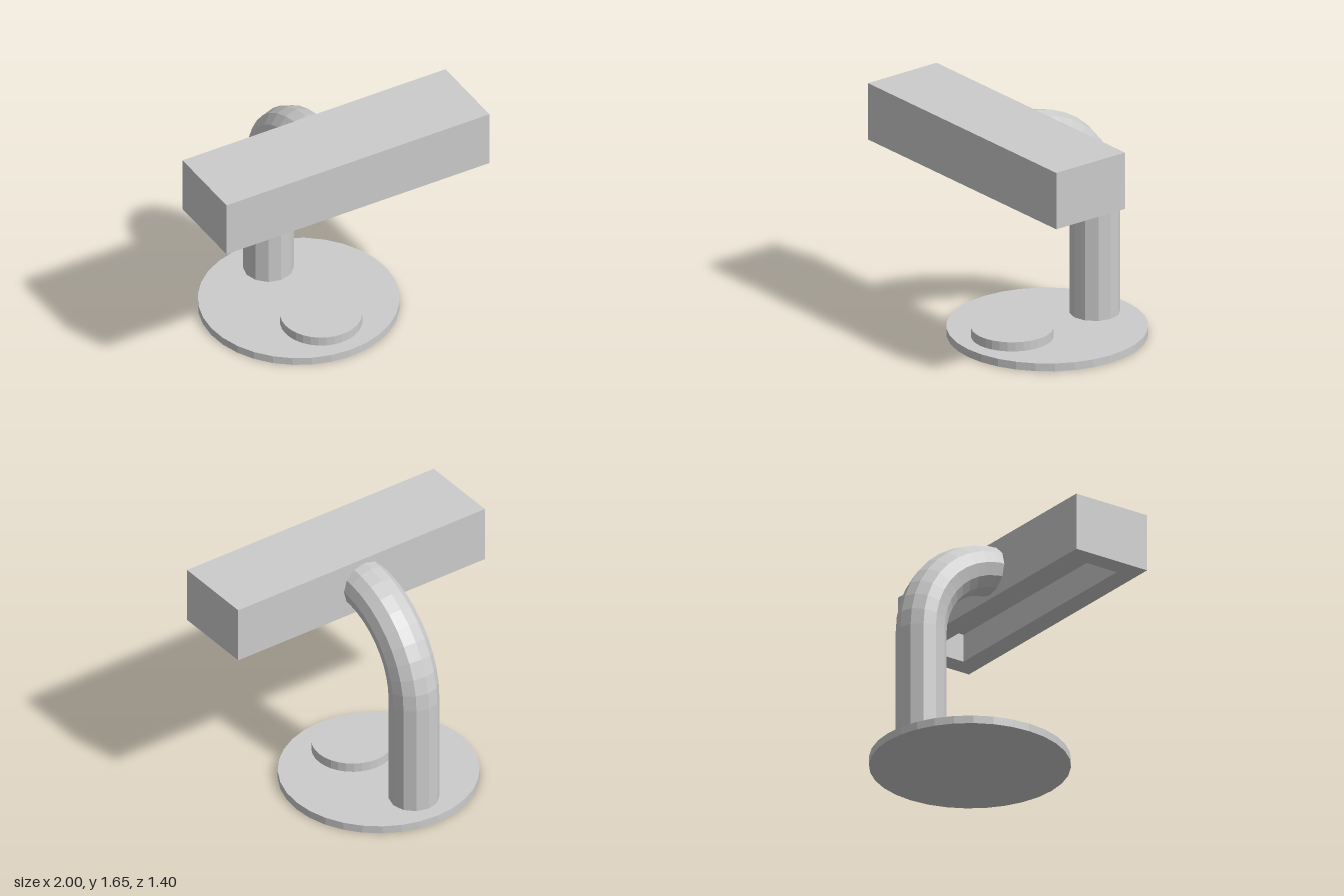
import * as THREE from 'three';

const material = new THREE.MeshStandardMaterial({ color: 0xcccccc, flatShading: true });

function add(parent, name, geometry, x, y, z) {
  const mesh = new THREE.Mesh(geometry, material);
  mesh.name = name;
  mesh.position.set(x, y, z);
  parent.add(mesh);
  return mesh;
}

// rectangle centred on the origin
function rectangle(path, w, h) {
  path.moveTo(-w / 2, -h / 2);
  path.lineTo(w / 2, -h / 2);
  path.lineTo(w / 2, h / 2);
  path.lineTo(-w / 2, h / 2);
  path.closePath();
  return path;
}

export function createModel() {
  const lamp = new THREE.Group();
  lamp.name = 'deskLamp';
  const cx = -0.025;

  // round foot and its push button
  add(lamp, 'base', new THREE.CylinderGeometry(0.665, 0.665, 0.055, 32), cx, 0.0275, -0.033);
  add(lamp, 'button', new THREE.CylinderGeometry(0.272, 0.272, 0.065, 32), cx, 0.0875, 0.26);

  // upright post, then a quarter bend reaching forward into the head
  const tube = 0.168, bend = 0.6, bendY = 0.85, bendZ = 0.17;
  const postHeight = bendY - 0.055;
  add(lamp, 'post', new THREE.CylinderGeometry(tube, tube, postHeight, 12, 1, true),
    cx, 0.055 + postHeight / 2, bendZ - bend);
  const arc = new THREE.TorusGeometry(bend, tube, 12, 10, Math.PI / 2);
  arc.rotateY(Math.PI / 2);
  add(lamp, 'bentNeck', arc, cx, bendY, bendZ);

  // head: solid upper half over a frame that leaves a recess underneath
  const head = new THREE.Group();
  head.name = 'lampHead';
  head.position.set(0, 1.25, 0.4125);
  lamp.add(head);
  const width = 2, depth = 0.575, height = 0.4, recess = 0.195;
  add(head, 'headTop', new THREE.BoxGeometry(width, height - recess, depth),
    0, (height + recess) / 2, 0);
  const outline = rectangle(new THREE.Shape(), width, depth);
  outline.holes.push(rectangle(new THREE.Path(), width - 0.28, depth - 0.29));
  const frame = new THREE.ExtrudeGeometry(outline, { depth: recess, bevelEnabled: false });
  frame.rotateX(-Math.PI / 2);
  add(head, 'headFrame', frame, 0, 0, 0);

  return lamp;
}
